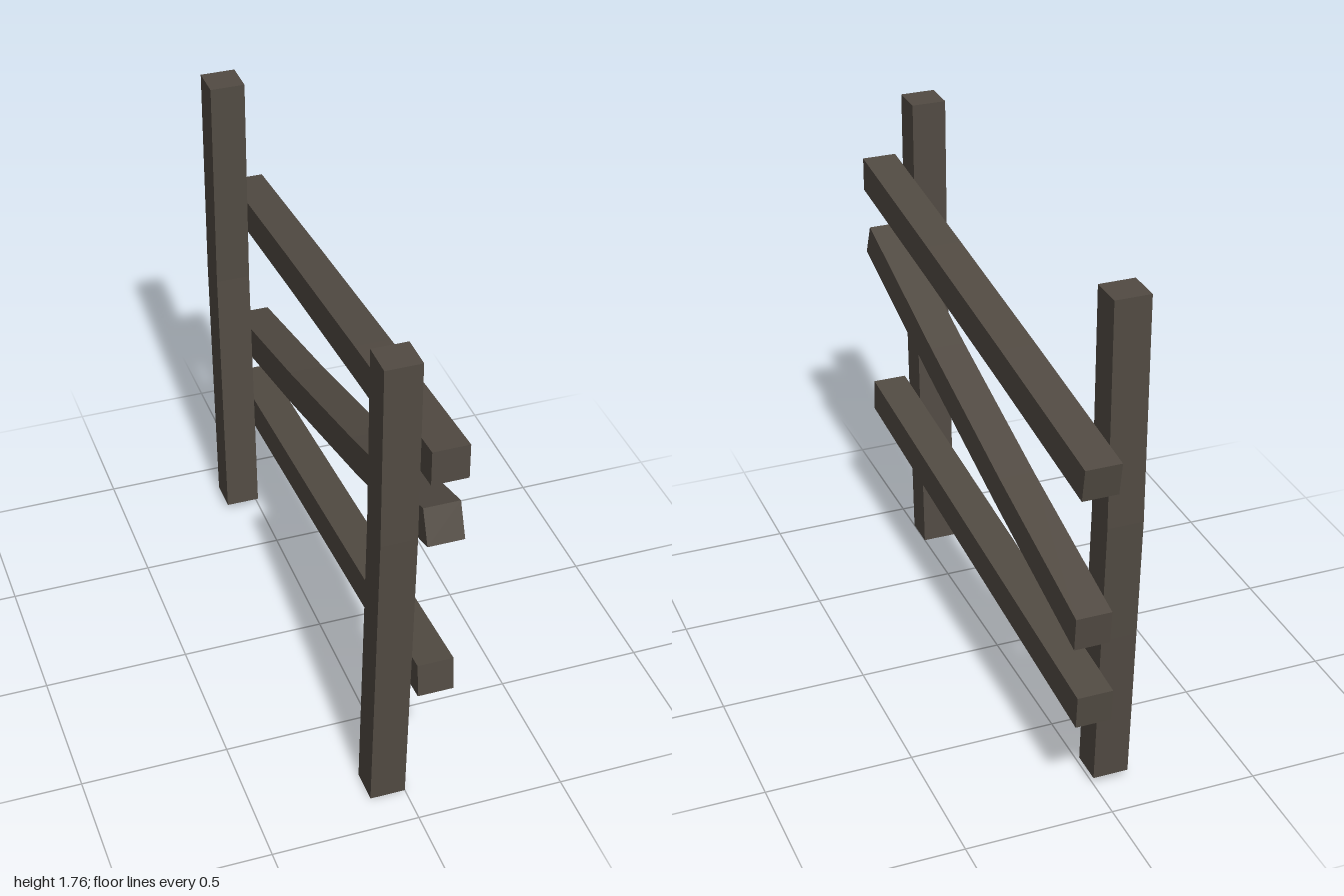
import * as THREE from 'three';

const THICK = 0.12;

// Plank whose side outline is given as [z, y] corners, spanning x0 to x0 + THICK
function plank(name, outline, x0, material) {
  const shape = new THREE.Shape(outline.map(([z, y]) => new THREE.Vector2(-z, y)));
  const geometry = new THREE.ExtrudeGeometry(shape, { depth: THICK, bevelEnabled: false });
  geometry.rotateY(Math.PI / 2);
  geometry.translate(x0, 0, 0);
  const mesh = new THREE.Mesh(geometry, material);
  mesh.name = name;
  return mesh;
}

// Outline of an upright post from its centre line [z, y]
function postOutline(centre) {
  const h = 0.0585;
  return [
    ...centre.map(([z, y]) => [z + h, y]),
    ...[...centre].reverse().map(([z, y]) => [z - h, y]),
  ];
}

// Outline of a rail from its front and back ends (top, bottom), bowed by sag
function railOutline(frontTop, frontBottom, backTop, backBottom, sag) {
  const edge = (a, b) => [0, 1 / 3, 2 / 3, 1].map((t) => [
    a[0] + (b[0] - a[0]) * t,
    a[1] + (b[1] - a[1]) * t - 4 * sag * t * (1 - t),
  ]);
  return [...edge(frontTop, backTop), ...edge(backBottom, frontBottom)];
}

export function createModel() {
  const fence = new THREE.Group();
  fence.name = 'fence';
  const wood = new THREE.MeshStandardMaterial({ color: 0x524b43 });
  wood.name = 'weathered wood';

  // Two slightly bent posts
  fence.add(plank('frontPost', postOutline(
    [[0.811, 0], [0.835, 0.58], [0.855, 1.1], [0.857, 1.74]]), -THICK, wood));
  fence.add(plank('backPost', postOutline(
    [[-0.791, 0.025], [-0.822, 0.58], [-0.845, 1], [-0.85, 1.765]]), -THICK, wood));

  // Three crooked rails nailed across the posts
  const rails = [
    ['topRail', [1, 1.485], [1, 1.365], [-1, 1.28], [-0.98, 1.165], -0.006],
    ['middleRail', [0.945, 1.24], [0.99, 1.127], [-0.957, 0.735], [-0.946, 0.617], 0.02],
    ['bottomRail', [0.945, 0.614], [0.955, 0.496], [-0.98, 0.458], [-0.97, 0.342], 0],
  ];
  for (const [name, ...ends] of rails) fence.add(plank(name, railOutline(...ends), 0, wood));

  return fence;
}
